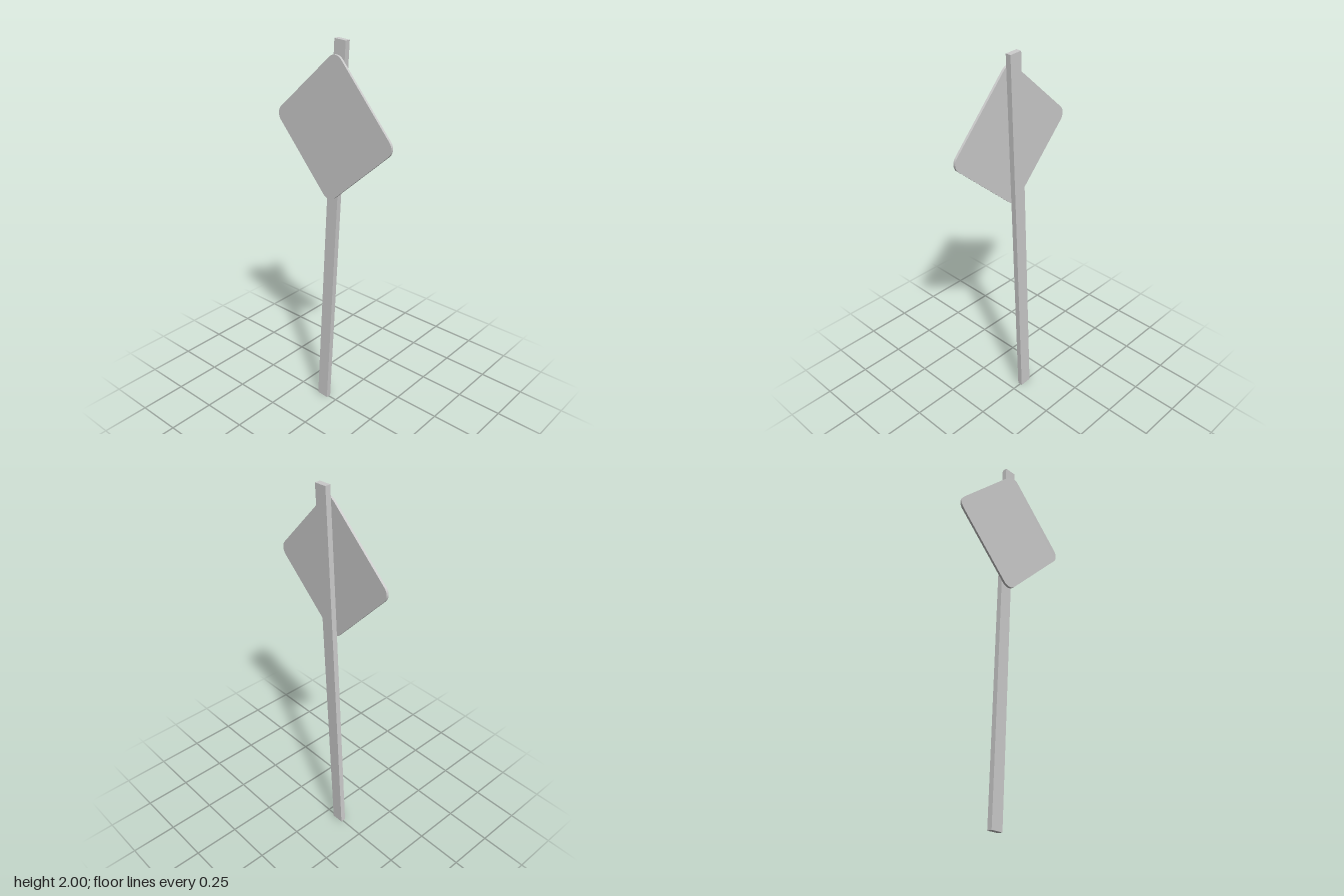
import * as THREE from 'three';
import { toCreasedNormals } from 'three/addons/utils/BufferGeometryUtils.js';

const LEAN = -0.0535; // sideways lean shared by post and sign
const PITCH = -0.01; // slight backward lean

function roundedSquare(half, r) {
  const s = new THREE.Shape();
  const c = half - r;
  const centres = [[c, c], [-c, c], [-c, -c], [c, -c]];
  centres.forEach(([x, y], i) => {
    s.absarc(x, y, r, i * Math.PI / 2, (i + 1) * Math.PI / 2, false);
  });
  s.closePath();
  return s;
}

export function createModel() {
  const model = new THREE.Group();
  model.name = 'roadSign';
  const material = new THREE.MeshStandardMaterial({ color: 0xcccccc });

  // Leaning rectangular post
  const post = new THREE.Mesh(new THREE.BoxGeometry(0.066, 1.999, 0.028), material);
  post.name = 'post';
  post.position.set(-0.032, 1, -0.009);
  post.rotation.set(PITCH, 0, LEAN);
  model.add(post);

  // Thin diamond plate with rounded corners, standing just off the post
  const thickness = 0.012;
  const plateGeometry = new THREE.ExtrudeGeometry(roundedSquare(0.263, 0.05), {
    depth: thickness, bevelEnabled: false, curveSegments: 8,
  });
  plateGeometry.translate(0, 0, -thickness / 2);
  const plate = new THREE.Mesh(toCreasedNormals(plateGeometry, 0.5), material);
  plate.name = 'signPlate';
  plate.position.set(-0.002, 1.583, 0.0185);
  plate.rotation.set(PITCH, -0.01, Math.PI / 4 + LEAN);
  model.add(plate);

  return model;
}
